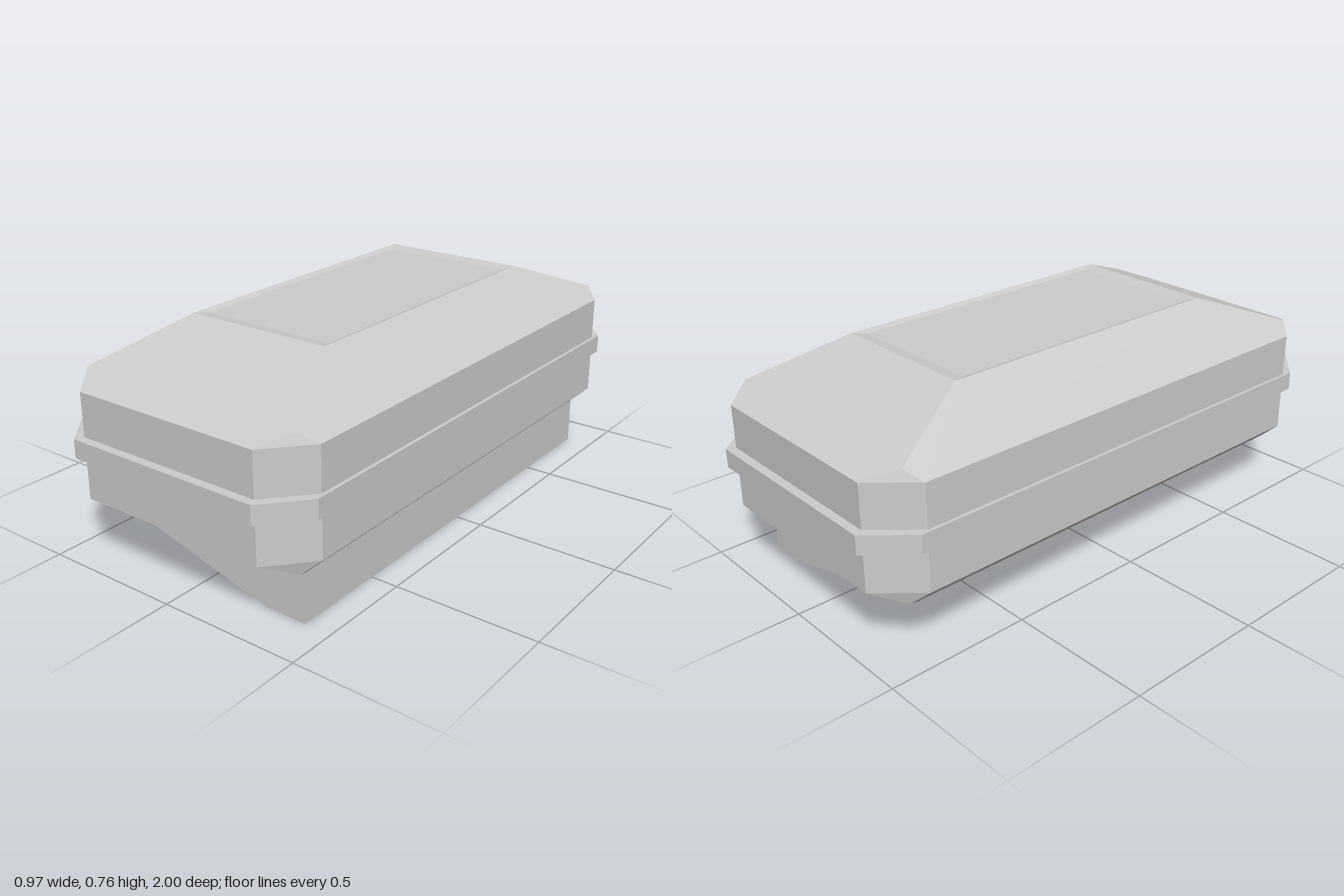
import * as THREE from 'three';

const material = new THREE.MeshStandardMaterial({ color: 0xcccccc, flatShading: true, side: THREE.DoubleSide });

function mesh(name, geometry) {
  const m = new THREE.Mesh(geometry, material);
  m.name = name;
  return m;
}

// Collects flat convex faces, turning each one away from the body's centre
function faceBuilder() {
  const centre = new THREE.Vector3(0, 0.42, 0);
  const positions = [];
  const face = (...corners) => {
    let p = corners.map((c) => new THREE.Vector3(...c));
    const normal = p[1].clone().sub(p[0]).cross(p[2].clone().sub(p[0]));
    const middle = p.reduce((sum, v) => sum.add(v), new THREE.Vector3()).divideScalar(p.length);
    if (normal.dot(middle.sub(centre)) < 0) p = p.reverse();
    for (let i = 1; i < p.length - 1; i++) {
      for (const v of [p[0], p[i], p[i + 1]]) positions.push(v.x, v.y, v.z);
    }
  };
  const build = () => {
    const g = new THREE.BufferGeometry();
    g.setAttribute('position', new THREE.Float32BufferAttribute(positions, 3));
    g.computeVertexNormals();
    return g;
  };
  return { face, build };
}

// Plan of a rectangle with chamfered corners
const X = 0.475, Z = 0.97, CX = 0.35, CZ = 0.83;

// Sloped hip from the wall edge to a rectangular rim, with clipped corners
function addHip(face, y, ridge, rim) {
  const [rx, ry, rz] = ridge;
  const [mx, my, mz] = rim;
  for (const s of [-1, 1]) {
    face([s * X, y, -CZ], [s * X, y, CZ], [s * rx, ry, rz], [s * mx, my, mz], [s * mx, my, -mz], [s * rx, ry, -rz]);
    face([-CX, y, s * Z], [CX, y, s * Z], [rx, ry, s * rz], [mx, my, s * mz], [-mx, my, s * mz], [-rx, ry, s * rz]);
    for (const t of [-1, 1]) face([s * X, y, t * CZ], [s * CX, y, t * Z], [s * rx, ry, t * rz]);
  }
}

function bodyGeometry() {
  const { face, build } = faceBuilder();
  const top = 0.6, bottom = 0.238;
  // Upright walls and chamfered corners
  for (const s of [-1, 1]) {
    face([s * X, bottom, -CZ], [s * X, bottom, CZ], [s * X, top, CZ], [s * X, top, -CZ]);
    face([-CX, bottom, s * Z], [CX, bottom, s * Z], [CX, top, s * Z], [-CX, top, s * Z]);
    for (const t of [-1, 1]) {
      face([s * X, bottom, t * CZ], [s * CX, bottom, t * Z], [s * CX, top, t * Z], [s * X, top, t * CZ]);
    }
  }
  // Upper and lower hips
  const rim = [0.27, 0.76, 0.555], base = [0.41, 0.176, 0.83];
  addHip(face, top, [0.424, 0.638, 0.872], rim);
  addHip(face, bottom, [0.425, 0.193, 0.868], base);
  const rect = (x, y, z) => [[-x, y, -z], [x, y, -z], [x, y, z], [-x, y, z]];
  face(...rect(...base));
  // Shallow dish in the roof
  const outer = rect(...rim), inner = rect(0.248, 0.752, 0.507);
  for (let i = 0; i < 4; i++) {
    const j = (i + 1) % 4;
    face(outer[i], outer[j], inner[j], inner[i]);
  }
  face(...inner);
  return build();
}

function extrude(points, depth) {
  const shape = new THREE.Shape(points.map(([x, y]) => new THREE.Vector2(x, y)));
  return new THREE.ExtrudeGeometry(shape, { depth, bevelEnabled: false });
}

export function createModel() {
  const group = new THREE.Group();
  group.name = 'chamferedCase';
  group.add(mesh('body', bodyGeometry()));

  // Raised band around the middle
  const x = 0.487, z = 1, cx = 0.363, cz = 0.86;
  const plan = [[cx, -z], [x, -cz], [x, cz], [cx, z], [-cx, z], [-x, cz], [-x, -cz], [-cx, -z]];
  const band = extrude(plan, 0.065);
  band.rotateX(-Math.PI / 2).translate(0, 0.385, 0);
  group.add(mesh('band', band));

  // Wedge foot, deepest on the left
  const wedge = extrude([[-0.41, 0.177], [0.255, 0], [0.405, 0], [0.405, 0.177]], 1.66);
  wedge.translate(0, 0, -0.83);
  group.add(mesh('wedgeFoot', wedge));
  return group;
}
